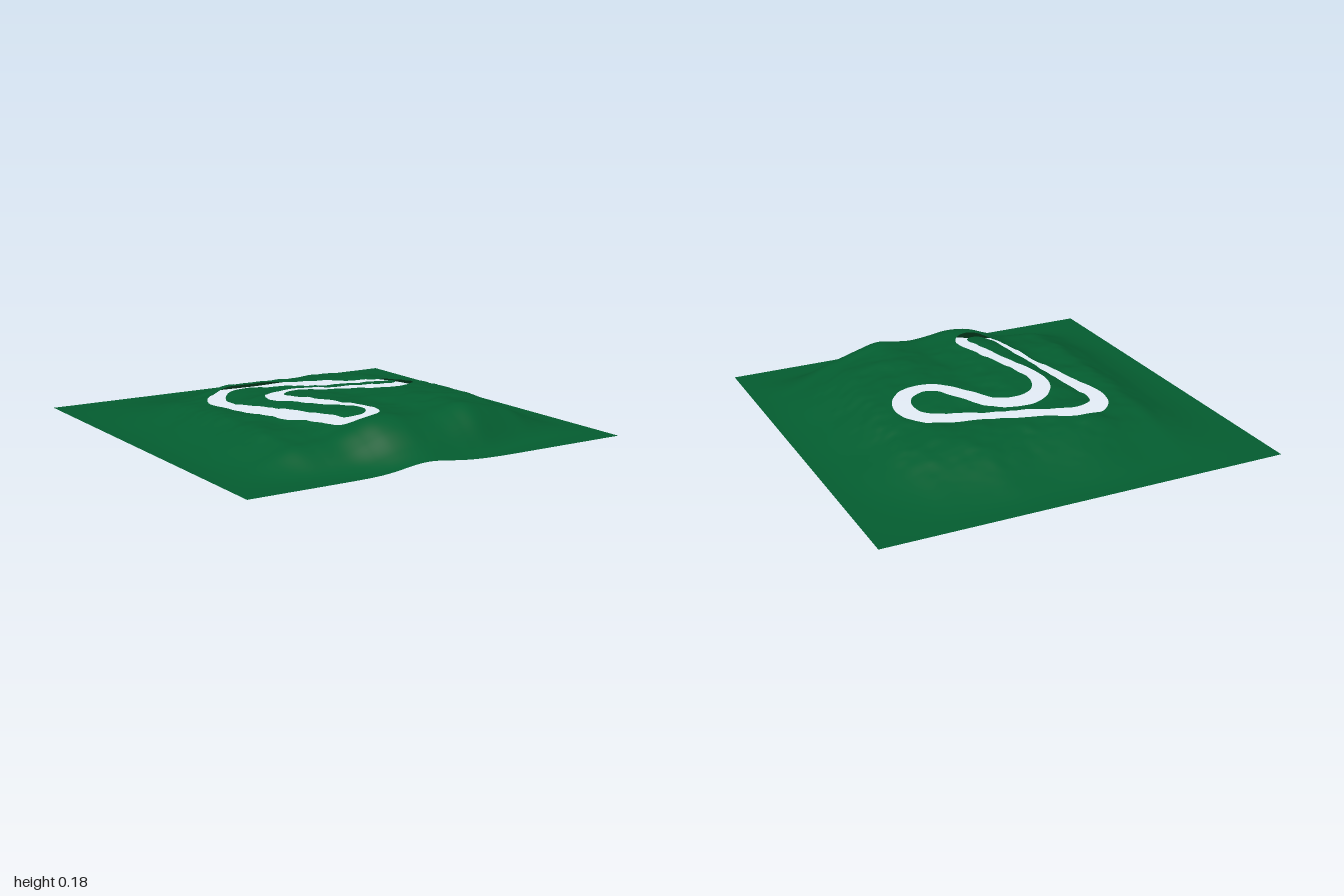
import * as THREE from 'three';

const { clamp, lerp, smoothstep } = THREE.MathUtils;

// Hill profiles along x and along z, sampled every 0.1 from -1 to 1
const ALONG_X = [0, .004, .028, .068, .102, .1, .104, .138, .174, .181, .162, .153, .167, .187, .172, .155, .14, .095, .05, .014, 0];
const ALONG_Z = [0, .009, .035, .065, .093, .115, .125, .124, .123, .138, .153, .158, .162, .172, .184, .182, .175, .182, .145, .075, .03];

// Smooth lookup in a profile (Catmull-Rom)
function sample(table, t) {
  const u = clamp((t + 1) * 10, 0, 20);
  const i = Math.min(19, Math.floor(u)), f = u - i;
  const at = k => table[clamp(k, 0, 20)];
  const a = at(i - 1), b = at(i), c = at(i + 1), d = at(i + 2);
  return b + 0.5 * f * (c - a + f * (2 * a - 5 * b + 4 * c - d + f * (3 * (b - c) + d - a)));
}

// Smooth repeatable noise from -1 to 1
function noise(x, z) {
  const i = Math.floor(x), j = Math.floor(z);
  const u = smoothstep(x - i, 0, 1), v = smoothstep(z - j, 0, 1);
  const hash = (a, b) => {
    const s = Math.sin(a * 127.1 + b * 311.7) * 43758.5453;
    return 2 * (s - Math.floor(s)) - 1;
  };
  return lerp(lerp(hash(i, j), hash(i + 1, j), u), lerp(hash(i, j + 1), hash(i + 1, j + 1), u), v);
}

// Ground height: a plateau in the middle, soft corners, a narrow nose at the front, rough on top
function height(x, z) {
  const a = Math.max(1e-4, sample(ALONG_X, x)), b = Math.max(1e-4, sample(ALONG_Z, z));
  const plateau = 1.05 * (a ** -8 + b ** -8) ** (-1 / 8);
  const slope = a * b / 0.185;
  const corner = 1 - 0.5 * smoothstep(Math.abs(x * z), 0.22, 0.7);
  const hill = lerp(plateau, slope, smoothstep(Math.hypot(x, z), 0.5, 0.85)) * corner;
  const reach = smoothstep(z, 0.7, 1);
  const nose = Math.exp(-(((x - lerp(0.05, -0.1, reach)) / lerp(0.85, 0.2, reach)) ** 2));
  const rounded = hill * lerp(1, nose, smoothstep(z, 0.65, 0.9));
  const mask = clamp((hill - 0.04) / 0.07, 0, 1) * (1 - smoothstep(z, 0.5, 0.72));
  const rough = 0.005 * noise(9 * x + 3 * z, 11 * z - 2 * x) + 0.003 * noise(19 * x - 5 * z, 23 * z + 6 * x);
  return Math.max(0, rounded + rough * mask);
}

// Circuit centreline: a belt around four circles [x, z, radius, turning direction]
const BENDS = [
  [-0.26, -0.21, 0.195, 1],
  [0.34, -0.05, 0.145, 1],
  [-0.06, 0, 0.19, -1],
  [-0.19, 0.52, 0.1, 1],
];

function circuitPoints() {
  const n = BENDS.length;
  // Angle of the normal of each tangent line from one bend to the next
  const normals = BENDS.map(([x, z, r, s], i) => {
    const [x2, z2, r2, s2] = BENDS[(i + 1) % n];
    const dx = x2 - x, dz = z2 - z;
    return Math.atan2(dz, dx) - Math.acos((s * r - s2 * r2) / Math.hypot(dx, dz));
  });
  const points = [];
  BENDS.forEach(([x, z, r, s], i) => {
    const start = normals[(i + n - 1) % n];
    const turn = THREE.MathUtils.euclideanModulo(s * (normals[i] - start), 2 * Math.PI);
    for (let k = 0; k <= 24; k++) {
      const a = start + s * turn * k / 24;
      points.push([x + s * r * Math.cos(a), z + s * r * Math.sin(a)]);
    }
  });
  return points;
}

// Positive on the ground, negative inside the circuit opening
function makeField(path) {
  return (x, z) => {
    let best = Infinity;
    for (let i = 0; i < path.length; i++) {
      const [ax, az] = path[i], [bx, bz] = path[(i + 1) % path.length];
      const dx = bx - ax, dz = bz - az;
      const t = clamp(((x - ax) * dx + (z - az) * dz) / (dx * dx + dz * dz || 1), 0, 1);
      best = Math.min(best, Math.hypot(x - ax - dx * t, z - az - dz * t));
    }
    return best - (0.045 - 0.014 * clamp(z / 0.5, 0, 1));
  };
}

// Grid sheet with every triangle trimmed along the edge of the opening
function terrainGeometry(cells) {
  const field = makeField(circuitPoints());
  const grid = [];
  for (let j = 0; j <= cells; j++) {
    for (let i = 0; i <= cells; i++) {
      const x = -1 + 2 * i / cells, z = -1 + 2 * j / cells;
      grid.push({ x, z, f: field(x, z) });
    }
  }
  const positions = [], normals = [], normal = new THREE.Vector3(), e = 0.008;
  const addVertex = ({ x, z }) => {
    positions.push(x, height(x, z), z);
    normal.set(height(x - e, z) - height(x + e, z), 2 * e, height(x, z - e) - height(x, z + e)).normalize();
    normals.push(normal.x, normal.y, normal.z);
  };
  const addTriangle = corners => {
    const kept = [];
    corners.forEach((p, i) => {
      const q = corners[(i + 1) % 3];
      if (p.f >= 0) kept.push(p);
      if ((p.f >= 0) !== (q.f >= 0)) {
        const t = p.f / (p.f - q.f);
        kept.push({ x: p.x + (q.x - p.x) * t, z: p.z + (q.z - p.z) * t });
      }
    });
    for (let k = 2; k < kept.length; k++) [kept[0], kept[k - 1], kept[k]].forEach(addVertex);
  };
  for (let j = 0; j < cells; j++) {
    for (let i = 0; i < cells; i++) {
      const k = j * (cells + 1) + i;
      const a = grid[k], b = grid[k + cells + 1], c = grid[k + 1], d = grid[k + cells + 2];
      addTriangle([a, b, c]);
      addTriangle([c, b, d]);
    }
  }
  const geometry = new THREE.BufferGeometry();
  geometry.setAttribute('position', new THREE.Float32BufferAttribute(positions, 3));
  geometry.setAttribute('normal', new THREE.Float32BufferAttribute(normals, 3));
  return geometry;
}

export function createModel() {
  const group = new THREE.Group();
  group.name = 'circuitLandscape';

  const grass = new THREE.MeshStandardMaterial({ color: 0x045d30, side: THREE.DoubleSide });
  grass.name = 'grassGreen';

  // Hilly ground sheet with the circuit cut out of it
  const terrain = new THREE.Mesh(terrainGeometry(140), grass);
  terrain.name = 'terrain';
  group.add(terrain);
  return group;
}
